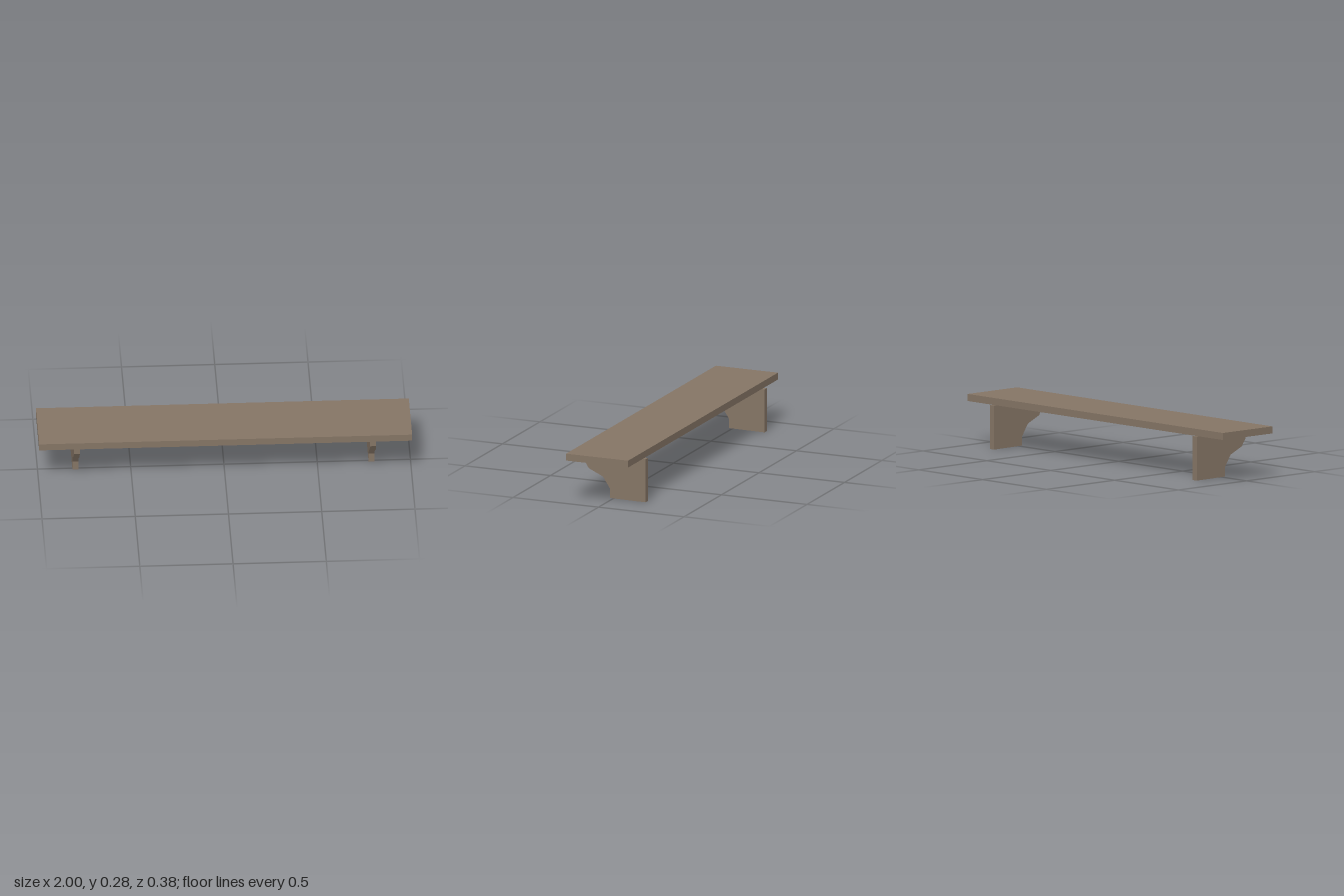
import * as THREE from 'three';

export function createModel() {
  const model = new THREE.Group();
  model.name = 'wallShelf';
  const wood = new THREE.MeshStandardMaterial({ color: 0x857565 });
  wood.name = 'greyBrownWood';

  // Shelf board
  const board = new THREE.Mesh(new THREE.BoxGeometry(2, 0.038, 0.363), wood);
  board.name = 'shelfBoard';
  board.position.set(0, 0.258, 0.0085);
  model.add(board);

  // Bracket side profile as (z, y), stepped along the front
  const profile = [
    [-0.19, 0.001], [0.017, 0.003], [0.017, 0.054], [0.058, 0.117],
    [0.141, 0.155], [0.169, 0.197], [0.169, 0.239], [-0.19, 0.239],
  ].map(([z, y]) => new THREE.Vector2(z, y));
  const width = 0.032;
  const bracketGeometry = new THREE.ExtrudeGeometry(new THREE.Shape(profile), {
    depth: width, bevelEnabled: false,
  });
  bracketGeometry.translate(0, 0, -width / 2);
  bracketGeometry.rotateY(-Math.PI / 2);

  // Two matching brackets below the board
  for (const [name, x] of [['leftBracket', 0.791], ['rightBracket', -0.797]]) {
    const bracket = new THREE.Mesh(bracketGeometry, wood);
    bracket.name = name;
    bracket.position.x = x;
    model.add(bracket);
  }
  return model;
}
